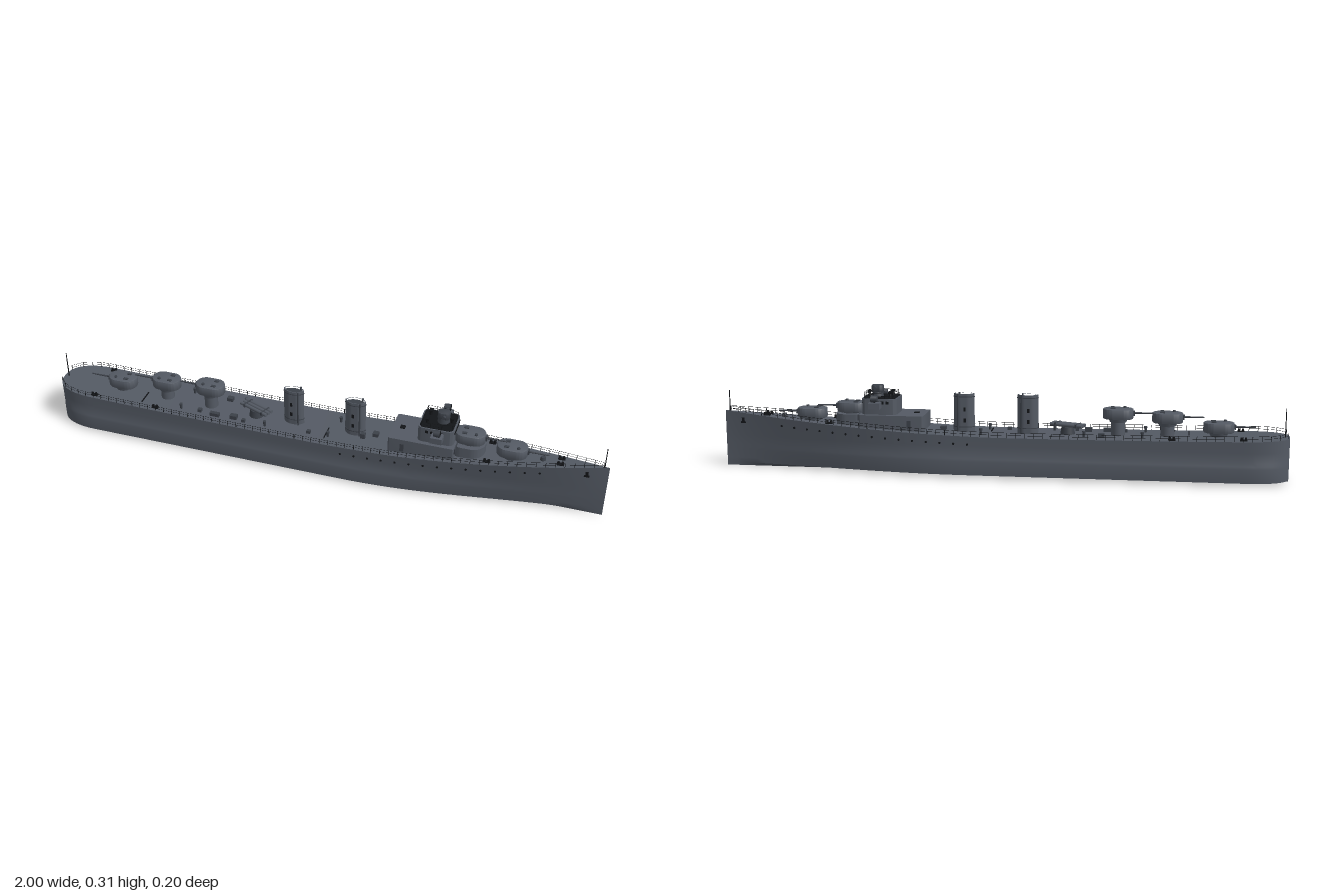
import * as THREE from 'three';
import { mergeGeometries, toCreasedNormals } from 'three/addons/utils/BufferGeometryUtils.js';

const material = (name, color) => Object.assign(new THREE.MeshStandardMaterial({ color }), { name });

// Height of the deck and half-width of the deck and bottom along the ship
const deckY = x => 0.147 + (x < 0 ? 0.011 * x * x : 0.056 * Math.pow(x, 1.5));
const stern = x => {
  const s = Math.min(1, Math.max(0, (-0.84 - x) / 0.16));
  return Math.pow(1 - Math.pow(s, 2.4), 1 / 2.4);
};
const deckHalf = x => 0.1 * stern(x) * (1 - Math.pow(Math.max(0, (x - 0.22) / 0.78), 1.8));
const bottomHalf = x => 0.1 * stern(x) * Math.pow(0.5 + 0.5 * Math.cos(Math.PI * Math.max(0, (x - 0.1) / 0.9)), 0.85);
const sideHalf = (x, y) => THREE.MathUtils.lerp(bottomHalf(x), deckHalf(x), Math.min(1, y / deckY(x)));

function hullGeometry() {
  const levels = [[0.012, 1], [0.03, 1.02], [0.06, 1.02], [0.07, 1.01], [0.08, 0.98], [0.115, 0.985]];
  const stations = [];
  for (let i = 0; i <= 16; i++) stations.push(-0.84 - 0.16 * Math.cos(i / 16 * Math.PI / 2));
  for (let i = 1; i <= 48; i++) stations.push(-0.84 + 1.84 * i / 48);
  const pos = [], idx = [];
  let n = 0;
  stations.forEach((x, i) => {
    const half = levels.map(([y, k]) => [y, sideHalf(x, y) * k]);
    half.push([deckY(x), deckHalf(x)]);
    const ring = [[0.001, 0], ...half, ...half.slice().reverse().map(([y, z]) => [y, -z])];
    n = ring.length;
    ring.forEach(([y, z]) => pos.push(x, y, z));
    if (i === 0) return;
    for (let j = 0; j < n; j++) {
      const a = (i - 1) * n + j, b = (i - 1) * n + (j + 1) % n;
      idx.push(a, a + n, b, a + n, b + n, b);
    }
  });
  const g = new THREE.BufferGeometry();
  g.setAttribute('position', new THREE.Float32BufferAttribute(pos, 3));
  g.setIndex(idx);
  return toCreasedNormals(g, 0.6);
}

// Rounded rectangle in plan, raised by height, with its base on y = 0
function roundedBlock(length, width, height, radius, bevel = 0) {
  const l = length / 2 - bevel, w = width / 2 - bevel, r = Math.min(radius, l, w);
  const s = new THREE.Shape();
  s.moveTo(-l + r, -w);
  s.lineTo(l - r, -w); s.absarc(l - r, -w + r, r, -Math.PI / 2, 0);
  s.lineTo(l, w - r); s.absarc(l - r, w - r, r, 0, Math.PI / 2);
  s.lineTo(-l + r, w); s.absarc(-l + r, w - r, r, Math.PI / 2, Math.PI);
  s.lineTo(-l, -w + r); s.absarc(-l + r, -w + r, r, Math.PI, Math.PI * 1.5);
  const g = new THREE.ExtrudeGeometry(s, {
    depth: height - 2 * bevel, curveSegments: 8, bevelEnabled: bevel > 0,
    bevelSize: bevel, bevelThickness: bevel, bevelSegments: 2,
  });
  return toCreasedNormals(g.translate(0, 0, bevel).rotateX(-Math.PI / 2), 0.6);
}

export function createModel() {
  const ship = new THREE.Group();
  ship.name = 'warship';
  const gray = material('slateGray', 0x545a64);
  const steel = material('darkSteel', 0x3c4149);
  const black = material('nearBlack', 0x121417);

  const add = (parent, name, geo, mat, x = 0, y = 0, z = 0) => {
    const m = new THREE.Mesh(geo, mat);
    m.name = name;
    m.position.set(x, y, z);
    parent.add(m);
    return m;
  };
  const group = (name, x = 0, y = 0, z = 0) => {
    const g = new THREE.Group();
    g.name = name;
    g.position.set(x, y, z);
    ship.add(g);
    return g;
  };
  const box = (w, h, d) => new THREE.BoxGeometry(w, h, d);
  const cyl = (r0, r1, h, n = 16) => new THREE.CylinderGeometry(r0, r1, h, n);

  add(ship, 'hull', hullGeometry(), gray);

  // Gun turrets: x, base height, direction of the barrel
  const turrets = [[-0.76, 0.167, -1], [-0.585, 0.197, -1], [-0.415, 0.207, -1], [0.53, 0.21, 1], [0.675, 0.186, 1]];
  for (const [x, y, dir] of turrets) {
    const t = group('gunTurret', x, y);
    add(t, 'gunHouse', roundedBlock(0.106, 0.072, 0.036, 0.03, 0.005), gray);
    const foot = y - deckY(x) + 0.004;
    add(t, 'turretRing', cyl(0.034, 0.029, 0.014, 24), gray, 0, -0.004);
    add(t, 'barbette', cyl(0.024, 0.024, foot, 24), gray, 0, -foot / 2);
    add(t, 'gunBarrel', cyl(0.0022, 0.0035, 0.08, 10).rotateZ(-dir * Math.PI / 2), steel, dir * 0.085, 0.021);
    add(t, 'gunMantlet', box(0.012, 0.016, 0.014), steel, dir * 0.052, 0.02);
    for (const s of [-1, 1]) add(t, 'roofHatch', box(0.016, 0.004, 0.01), steel, -dir * 0.018, 0.037, s * 0.016);
    add(t, 'sightHood', cyl(0.005, 0.006, 0.007, 10), steel, dir * 0.022, 0.038, 0.016);
  }

  // Funnels with a lens-shaped plan
  for (const x of [-0.1, 0.125]) {
    const f = group('funnel', x, 0.14);
    const lens = k => {
      const s = new THREE.Shape();
      s.moveTo(-0.037 * k, 0);
      s.bezierCurveTo(-0.025 * k, 0.026 * k, 0.025 * k, 0.026 * k, 0.037 * k, 0);
      s.bezierCurveTo(0.025 * k, -0.026 * k, -0.025 * k, -0.026 * k, -0.037 * k, 0);
      return s;
    };
    const raise = (s, depth) => toCreasedNormals(
      new THREE.ExtrudeGeometry(s, { depth, bevelEnabled: false, curveSegments: 10 }).rotateX(-Math.PI / 2), 0.6);
    const wall = lens(1);
    wall.holes.push(lens(0.88));
    add(f, 'funnelCasing', raise(wall, 0.144), gray);
    add(f, 'funnelOpening', raise(lens(0.9), 0.13), black);
    for (const y of [0.025, 0.132]) add(f, 'funnelBand', raise(lens(1.04), 0.003), steel, 0, y);
    for (const s of [-1, 1]) {
      add(f, 'steamPipe', cyl(0.003, 0.003, 0.14, 8), steel, 0.02, 0.075, s * 0.018);
      for (const y of [0.05, 0.09]) add(f, 'funnelLadderPlate', box(0.008, 0.014, 0.003), black, -0.004, y, s * 0.0195);
    }
  }

  // Forward superstructure and bridge
  const b = group('bridge');
  add(b, 'deckhouse', roundedBlock(0.23, 0.145, 0.062, 0.006), gray, 0.375, 0.148);
  add(b, 'gunPlatform', roundedBlock(0.12, 0.1, 0.052, 0.045), gray, 0.525, 0.155);
  add(b, 'bridgeTower', roundedBlock(0.125, 0.114, 0.057, 0.018), gray, 0.42, 0.209);
  add(b, 'bridgeRoof', roundedBlock(0.115, 0.104, 0.003, 0.016), black, 0.42, 0.265);
  add(b, 'breakwater', box(0.004, 0.02, 0.14), steel, 0.492, 0.2);
  for (let i = -3; i <= 3; i++) add(b, 'bridgeWindow', box(0.003, 0.01, 0.009), black, 0.4825, 0.252, i * 0.0115);
  for (const s of [-1, 1]) {
    add(b, 'bridgeWing', box(0.04, 0.022, 0.036), gray, 0.43, 0.245, s * 0.074);
    add(b, 'searchlightPost', cyl(0.003, 0.003, 0.02, 8), black, 0.43, 0.26, s * 0.08);
    add(b, 'searchlight', cyl(0.013, 0.011, 0.022, 20).rotateZ(-Math.PI / 2), steel, 0.43, 0.27, s * 0.08);
    add(b, 'searchlightLens', cyl(0.011, 0.011, 0.002, 20).rotateZ(-Math.PI / 2), black, 0.441, 0.27, s * 0.08);
    for (let i = 0; i < 4; i++) add(b, 'sideWindow', box(0.01, 0.01, 0.003), black, 0.39 + i * 0.018, 0.252, s * 0.0565);
    add(b, 'deckhouseDoor', box(0.014, 0.03, 0.002), steel, 0.31, 0.178, s * 0.073);
  }
  add(b, 'directorBase', cyl(0.018, 0.022, 0.02, 20), steel, 0.435, 0.274);
  add(b, 'directorHouse', roundedBlock(0.042, 0.034, 0.026, 0.01, 0.003), steel, 0.435, 0.282);
  add(b, 'rangefinder', cyl(0.004, 0.004, 0.052, 12).rotateX(Math.PI / 2), steel, 0.44, 0.299);
  for (const s of [-1, 1]) add(b, 'rangefinderEnd', cyl(0.006, 0.006, 0.008, 12).rotateX(Math.PI / 2), steel, 0.44, 0.299, s * 0.025);
  for (const [x, z] of [[0.385, 0.025], [0.385, -0.025], [0.465, 0]]) {
    add(b, 'lookoutStand', cyl(0.004, 0.006, 0.018, 10), black, x, 0.275, z);
    add(b, 'lookoutSight', box(0.012, 0.006, 0.018), black, x, 0.285, z);
  }
  add(b, 'deckhouseHatch', box(0.018, 0.004, 0.018), black, 0.295, 0.211);

  // Railings: posts and two wires along a line of points
  function railing(name, points, height, closed = false) {
    const curve = new THREE.CatmullRomCurve3(points, closed, 'catmullrom', 0.1);
    const parts = points.map(p => box(0.0016, height, 0.0016).translate(p.x, p.y + height / 2, p.z));
    for (const k of [0.5, 1]) {
      parts.push(new THREE.TubeGeometry(curve, points.length * 2, 0.0006, 4, closed).translate(0, height * k, 0));
    }
    add(ship, name, mergeGeometries(parts), black);
  }
  for (const s of [-1, 1]) {
    const pts = [];
    for (let i = 0; i <= 64; i++) {
      const x = -0.992 + 1.972 * i / 64;
      pts.push(new THREE.Vector3(x, deckY(x), s * (deckHalf(x) - 0.002)));
    }
    railing('deckRailing', pts, 0.018);
  }
  const roofRail = [];
  for (const [x, z] of [[0.37, -0.05], [0.4, -0.05], [0.44, -0.05], [0.475, -0.04], [0.478, 0]]) roofRail.push(new THREE.Vector3(x, 0.266, z));
  roofRail.push(...roofRail.slice(0, 4).reverse().map(p => new THREE.Vector3(p.x, p.y, -p.z)));
  railing('bridgeRailing', roofRail, 0.019, true);

  // Flagstaffs
  add(ship, 'sternStaff', cyl(0.0015, 0.002, 0.1, 6), black, -0.985, 0.205);
  add(ship, 'bowStaff', cyl(0.0015, 0.002, 0.078, 6), black, 0.983, 0.238);

  // Portholes and anchors
  for (const s of [-1, 1]) {
    for (let i = 0; i < 15; i++) {
      const x = 0.1 + i * 0.0485, y = deckY(x) - 0.028;
      add(ship, 'porthole', cyl(0.004, 0.004, 0.004, 12).rotateX(Math.PI / 2), black, x, y, s * (sideHalf(x, y) * 0.99));
    }
    const y = 0.17, z = sideHalf(0.93, y);
    add(ship, 'anchorPlate', box(0.01, 0.02, 0.006), black, 0.93, y, s * z);
    add(ship, 'anchorFlukes', box(0.018, 0.006, 0.007), black, 0.93, y - 0.007, s * z);
  }

  // Torpedo tubes trained off the centre line
  const tubes = group('torpedoMount', -0.24, 0.148, 0.006);
  tubes.rotation.y = -0.38;
  add(tubes, 'mountBase', cyl(0.022, 0.026, 0.026, 20), steel, 0, 0.013);
  for (let i = -1; i <= 1; i++) add(tubes, 'torpedoTube', cyl(0.0065, 0.0065, 0.12, 12).rotateZ(Math.PI / 2), gray, 0, 0.032, i * 0.014);
  for (const x of [-0.04, 0.04]) add(tubes, 'tubeClamp', box(0.006, 0.013, 0.043), steel, x, 0.032);

  // Small deck fittings: x, z, length, height, width
  const lockers = [[-0.38, 0.058, 0.035, 0.014, 0.014], [-0.31, 0.052, 0.025, 0.016, 0.018], [-0.36, -0.048, 0.022, 0.014, 0.018],
    [-0.27, 0.06, 0.012, 0.012, 0.012], [-0.44, 0.05, 0.014, 0.012, 0.014], [0.16, 0.024, 0.016, 0.02, 0.014],
    [-0.03, 0.05, 0.014, 0.012, 0.012], [0.2, 0, 0.02, 0.014, 0.02]];
  for (const [x, z, l, h, w] of lockers) add(ship, 'deckLocker', box(l, h, w), steel, x, deckY(x) + h / 2 - 0.001, z);
  for (const [x, z] of [[-0.5, -0.05], [-0.3, -0.05], [0.04, 0.05], [0.06, -0.045], [-0.19, 0.06], [-0.51, 0.055]]) {
    add(ship, 'ventilator', cyl(0.006, 0.004, 0.022, 10), steel, x, deckY(x) + 0.01, z);
  }
  for (const x of [-0.84, -0.6, 0.6, 0.84]) for (const s of [-1, 1]) {
    const z = s * (deckHalf(x) - 0.018);
    add(ship, 'bollardBase', box(0.024, 0.004, 0.012), black, x, deckY(x) + 0.002, z);
    for (const d of [-0.007, 0.007]) add(ship, 'bollard', cyl(0.004, 0.004, 0.01, 10), black, x + d, deckY(x) + 0.007, z);
  }
  for (const [x, z] of [[-0.66, 0.035], [0.03, 0.035]]) add(ship, 'deckSpar', box(0.003, 0.004, 0.06), black, x, deckY(x) + 0.002, z);
  add(ship, 'anchorCapstan', cyl(0.008, 0.01, 0.012, 14), steel, 0.78, deckY(0.78) + 0.006);
  return ship;
}
